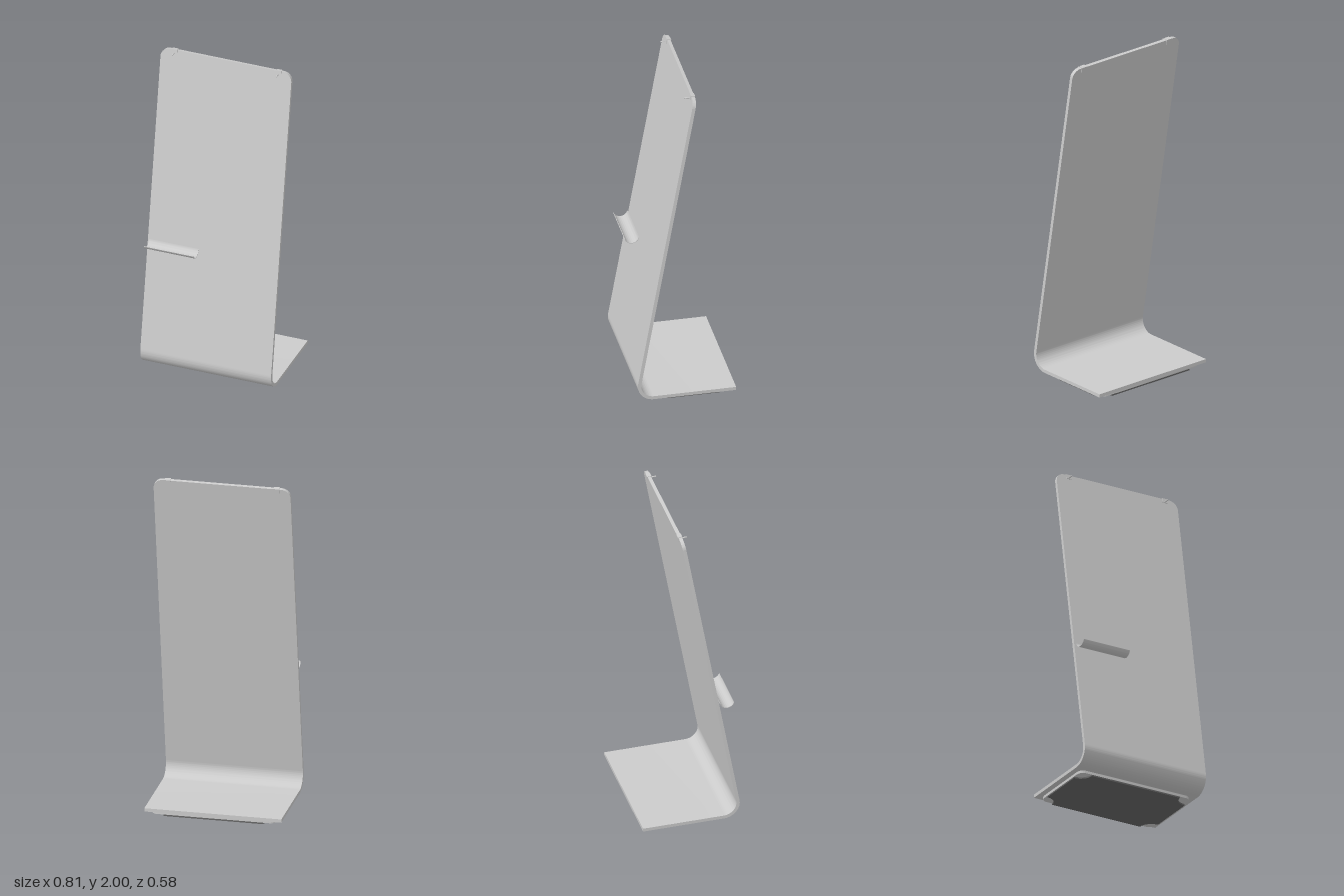
import * as THREE from 'three';
import { toCreasedNormals } from 'three/addons/utils/BufferGeometryUtils.js';

const LEAN = THREE.MathUtils.degToRad(10);
const T = 0.02;            // sheet thickness
const HALF_W = 0.405;      // half sheet width
const R = 0.095;           // outer bend radius
const BEND = { z: 0.195, y: 0.12 };
const BASE_Y = BEND.y - R;
const BACK_Z = -0.29;
const UPRIGHT = 1.887;     // length of the leaning sheet

const grey = new THREE.MeshStandardMaterial({ color: 0xcccccc });
const rubber = new THREE.MeshStandardMaterial({ color: 0x666666 });

function extrude(shape, depth) {
  const g = new THREE.ExtrudeGeometry(shape, { depth, bevelEnabled: false, curveSegments: 20 });
  return toCreasedNormals(g, 0.5);
}

// Profile drawn as (z, y), swept across the width from x0 to x1
function sweepX(shape, x0, x1) {
  return extrude(shape, x1 - x0).rotateY(-Math.PI / 2).translate(x1, 0, 0);
}

// Outline drawn flat on the floor plane, from y0 to y1
function slab(shape, y0, y1) {
  return extrude(shape, y1 - y0).rotateX(-Math.PI / 2).translate(0, y0, 0);
}

function add(parent, name, geometry, material = grey) {
  const mesh = new THREE.Mesh(geometry, material);
  mesh.name = name;
  parent.add(mesh);
  return mesh;
}

// Rectangle with rounded corners, or scooped corners when scoop is true
function cornered(w, h, r, scoop) {
  const s = new THREE.Shape();
  [[1, -1], [1, 1], [-1, 1], [-1, -1]].forEach(([sx, sy], i) => {
    const start = (i - 1) * Math.PI / 2;
    if (scoop) s.absarc(sx * w, sy * h, r, start + Math.PI * 1.5, start + Math.PI, true);
    else s.absarc(sx * (w - r), sy * (h - r), r, start, start + Math.PI / 2, false);
  });
  s.closePath();
  return s;
}

export function createModel() {
  const model = new THREE.Group();
  model.name = 'displayStand';

  // Base sheet running into the bend
  const base = new THREE.Shape();
  base.moveTo(BACK_Z, BASE_Y);
  base.lineTo(BEND.z, BASE_Y);
  base.absarc(BEND.z, BEND.y, R, -Math.PI / 2, LEAN, false);
  base.absarc(BEND.z, BEND.y, R - T, LEAN, -Math.PI / 2, true);
  base.lineTo(BACK_Z, BASE_Y + T);
  base.closePath();
  add(model, 'baseAndBend', sweepX(base, -HALF_W, HALF_W));

  // Leaning frame, pivoted at the centre of the bend
  const back = new THREE.Group();
  back.name = 'leaningBack';
  back.position.set(0, BEND.y, BEND.z);
  back.rotation.x = -LEAN;
  model.add(back);

  const c = 0.055;
  const panel = new THREE.Shape();
  panel.moveTo(-HALF_W, 0);
  panel.lineTo(HALF_W, 0);
  panel.absarc(HALF_W - c, UPRIGHT - c, c, 0, Math.PI / 2, false);
  panel.absarc(-HALF_W + c, UPRIGHT - c, c, Math.PI / 2, Math.PI, false);
  panel.closePath();
  add(back, 'backPanel', extrude(panel, T).translate(0, 0, R - T));

  // Clips folded over the top edge, each with a peg
  const k = 0.003, leg = 0.026, cw = 0.036;
  const clip = new THREE.Shape();
  [[R - T - k, -leg], [R - T, -leg], [R - T, 0], [R, 0], [R, -leg], [R + k, -leg], [R + k, k], [R - T - k, k]]
    .forEach(([z, y], i) => (i ? clip.lineTo(z, y) : clip.moveTo(z, y)));
  clip.closePath();
  for (const side of [-1, 1]) {
    const hook = new THREE.Group();
    hook.name = side > 0 ? 'leftClip' : 'rightClip';
    hook.position.set(side * 0.322, UPRIGHT, 0);
    back.add(hook);
    add(hook, 'clip', sweepX(clip, -cw / 2, cw / 2));
    const pegPath = new THREE.CatmullRomCurve3([
      new THREE.Vector3(0, -0.02, R), new THREE.Vector3(0, -0.021, R + 0.02),
      new THREE.Vector3(0, -0.024, R + 0.03),
    ]);
    add(hook, 'peg', new THREE.TubeGeometry(pegPath, 8, 0.004, 10));
    const cap = add(hook, 'pegTip', new THREE.SphereGeometry(0.004, 10, 8));
    cap.position.set(0, -0.024, R + 0.03);
  }

  // Curved tray on the front of the panel
  const r = 0.0445, t = 0.003, cz = 0.218, cy = 0.832;
  const a0 = Math.PI + 0.25, a1 = 2 * Math.PI - 0.33;
  const tray = new THREE.Shape();
  tray.absarc(cz, cy, r, a0, a1, false);
  tray.absarc(cz, cy, r - t, a1, a0, true);
  tray.closePath();
  add(model, 'tray', sweepX(tray, -0.395, -0.086));

  // Foot plate with a scooped rubber pad beneath
  const foot = new THREE.Group();
  foot.name = 'foot';
  foot.position.z = -0.046;
  model.add(foot);
  add(foot, 'footPlate', slab(cornered(0.37, 0.227, 0.04, false), 0.009, BASE_Y));
  add(foot, 'footPad', slab(cornered(0.37, 0.227, 0.075, true), 0, 0.009), rubber);

  return model;
}
